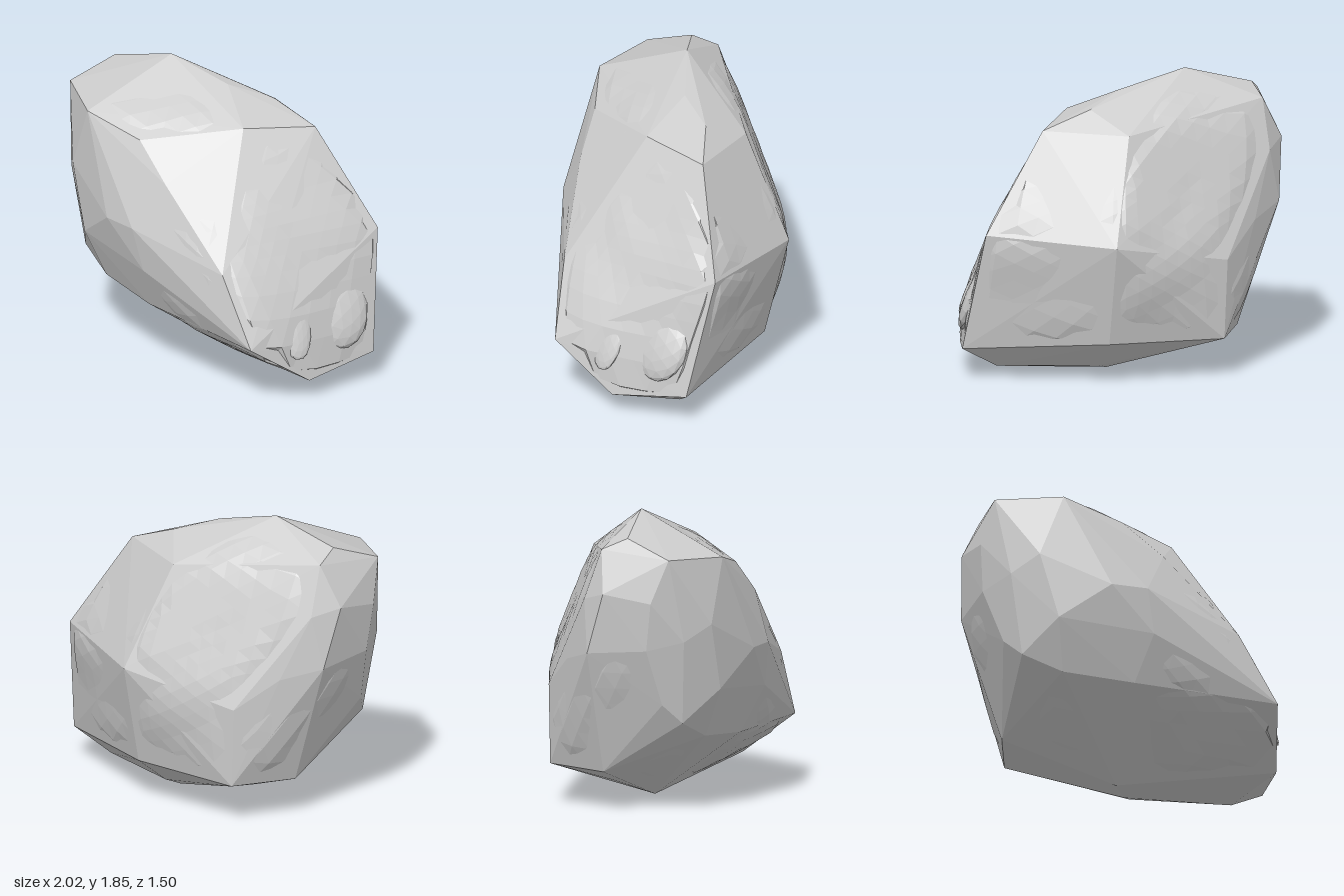
import * as THREE from 'three';
import { ConvexGeometry } from 'three/addons/geometries/ConvexGeometry.js';

const V = (x, y, z) => new THREE.Vector3(x, y, z);

// Corners of the chiselled boulder
const corners = [
  // left cut face
  V(0.92, 0.41, 0.47), V(0.99, 0.13, 0.07), V(1, 0.2, -0.42), V(0.86, 0.95, -0.56),
  V(0.5, 1.56, -0.35), V(0.33, 1.6, 0.08), V(0.18, 1.3, 0.57), V(0.67, 0.84, 0.5),
  // back
  V(0.06, 0.9, -0.755), V(0.1, 0.26, -0.61), V(-0.03, 1.54, -0.44),
  V(-0.64, 0.75, -0.44), V(-0.62, 0.25, -0.44), V(-0.45, 1.31, -0.31),
  // underside
  V(0, 0, -0.03), V(0.78, 0.06, -0.3), V(0.1, 0.04, -0.28), V(0.15, 0.07, -0.36),
  V(-0.72, 0.24, -0.02), V(-0.42, 0.14, -0.1),
  // right side
  V(-0.98, 1.02, 0), V(-1, 1.4, 0.12), V(-0.94, 1.35, 0.42), V(-0.92, 1.05, 0.38),
  V(-0.8, 0.7, 0.43), V(-0.7, 0.58, 0.52), V(-0.82, 0.95, -0.22),
  V(-0.92, 1.35, -0.05), V(-0.55, 1.4, -0.2),
  // bulging front
  V(0, 0.43, 0.56), V(-0.45, 0.47, 0.55), V(-0.5, 0.78, 0.68), V(0.1, 0.72, 0.68),
  V(0.35, 0.68, 0.61), V(-0.18, 1.0, 0.75), V(0.05, 1.0, 0.73), V(-0.62, 1.2, 0.68),
  V(-0.78, 1.1, 0.57), V(-0.08, 1.51, 0.57),
  // top
  V(-0.47, 1.6, 0.68), V(-0.87, 1.62, 0.51), V(-0.88, 1.66, 0.05), V(-0.82, 1.73, 0.2),
  V(-0.4, 1.85, 0.08), V(0, 1.75, -0.05), V(0.2, 1.67, -0.26), V(0.08, 1.68, 0.08),
  V(-0.3, 1.6, -0.25),
];

// Shallow lumps on the left cut face: position, half width, half height, depth
const lumps = [
  [V(0.71, 0.98, -0.24), 0.2, 0.46, 0.06],
  [V(0.89, 0.5, -0.22), 0.2, 0.25, 0.07],
  [V(0.91, 0.47, 0.12), 0.1, 0.2, 0.03],
];

// Distinct planes of the hull, measured from the centre
function hullPlanes(hull, centre) {
  const p = hull.attributes.position;
  const at = i => new THREE.Vector3().fromBufferAttribute(p, i).sub(centre);
  const planes = [];
  for (let i = 0; i < p.count; i += 3) {
    const a = at(i);
    const n = at(i + 1).sub(a).cross(at(i + 2).sub(a));
    if (n.length() < 1e-5) continue;
    n.normalize();
    const d = n.dot(a);
    if (!planes.some(q => q.n.dot(n) > 0.998 && Math.abs(q.d - d) < 0.02)) planes.push({ n, d });
  }
  return planes;
}

// Weathered skin: rounds the hull's corners and swells through its broad faces
function weatheredSkin(planes, centre) {
  const g = new THREE.IcosahedronGeometry(1, 8);
  const p = g.attributes.position;
  const dir = new THREE.Vector3();
  for (let i = 0; i < p.count; i++) {
    dir.fromBufferAttribute(p, i).normalize();
    let r = Infinity, sum = 0;
    for (const { n, d } of planes) {
      const c = n.dot(dir);
      if (c < 0.05) continue;
      r = Math.min(r, d / c);
      sum += Math.pow(c / d, 22);
    }
    const soft = Math.pow(sum, -1 / 22);
    const ripple = 0.014 * Math.sin(dir.x * 5 + dir.y * 3 + 1) * Math.cos(dir.z * 5 - dir.y * 5);
    dir.multiplyScalar(Math.min(soft * 1.03 + ripple, r * 1.025)).add(centre);
    p.setXYZ(i, dir.x, Math.max(dir.y, 0), dir.z);
  }
  return g;
}

export function createModel() {
  const group = new THREE.Group();
  group.name = 'boulder';
  const stone = new THREE.MeshStandardMaterial({ color: 0xcccccc, flatShading: true });
  const centre = V(0, 0.9, 0.02);

  const hull = new ConvexGeometry(corners);
  const core = new THREE.Mesh(hull, stone);
  core.name = 'chiselledCore';

  const skin = new THREE.Mesh(weatheredSkin(hullPlanes(hull, centre), centre), stone);
  skin.name = 'weatheredSkin';
  group.add(core, skin);

  const faceNormal = V(0.87, 0.4, 0.25);
  for (const [position, width, height, depth] of lumps) {
    const lump = new THREE.Mesh(new THREE.IcosahedronGeometry(1, 2), stone);
    lump.name = 'sideLump';
    lump.position.copy(position);
    lump.lookAt(position.clone().add(faceNormal));
    lump.scale.set(width, height, depth);
    group.add(lump);
  }
  return group;
}
